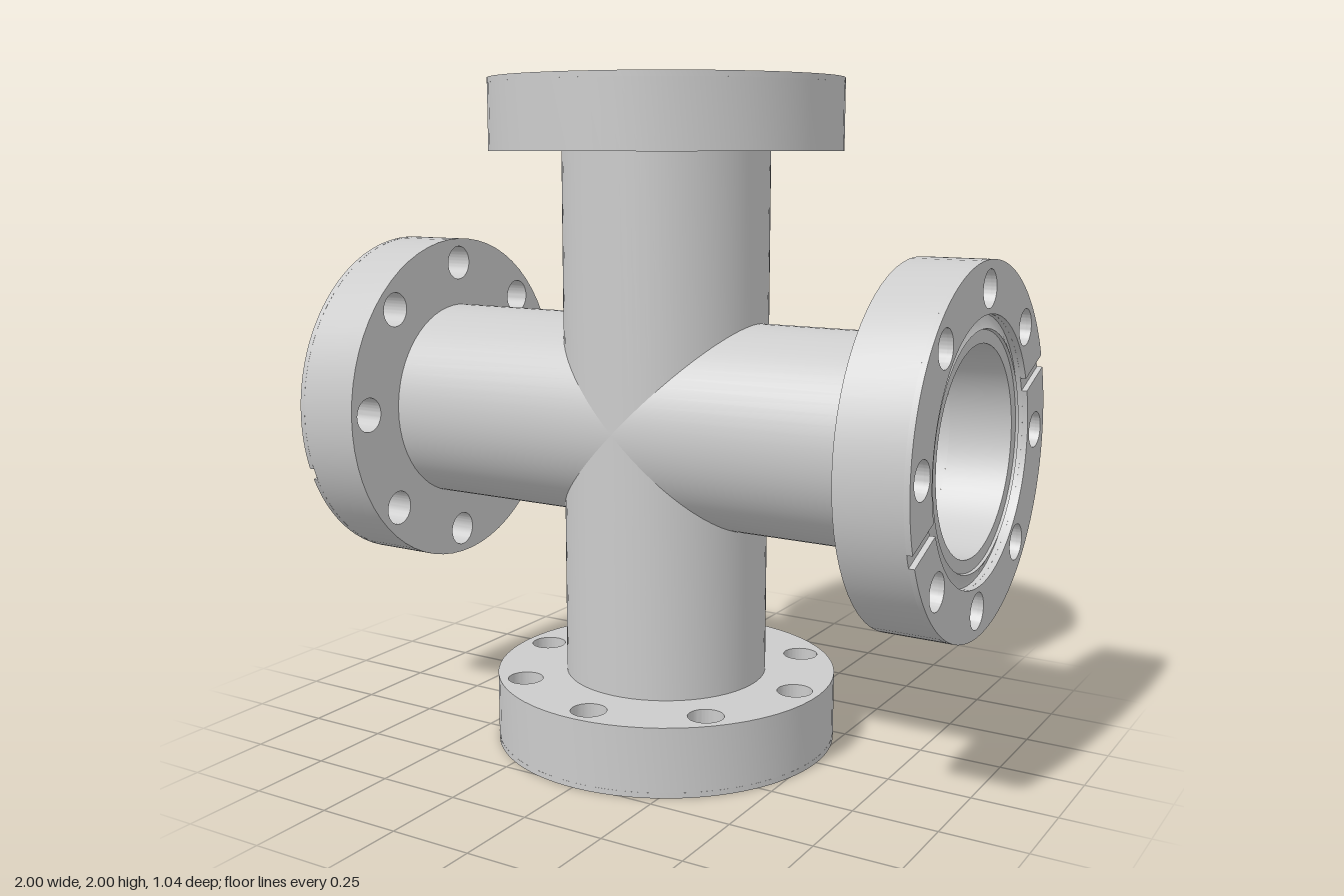
import * as THREE from 'three';
import { toCreasedNormals } from 'three/addons/utils/BufferGeometryUtils.js';

const CENTRE_Y = 0.99;
const TUBE_R = 0.308, BORE_R = 0.295;
const FLANGE_R = 0.521, RECESS_R = 0.375, THICK = 0.208;
const BOLT_CIRCLE = 0.443, BOLT_R = 0.053, BOLTS = 8;
const GROOVE_HALF = 0.02, GROOVE_DEPTH = 0.016;
const SEGMENTS = 64;

const material = new THREE.MeshStandardMaterial({ color: 0xcccccc });

function addMesh(parent, name, geometry) {
  const mesh = new THREE.Mesh(toCreasedNormals(geometry, 0.5), material);
  mesh.name = name;
  parent.add(mesh);
  return mesh;
}

function lathe(points) {
  return new THREE.LatheGeometry(points.map(([r, y]) => new THREE.Vector2(r, y)), SEGMENTS);
}

// Tube wall whose lower end is mitred to meet the neighbouring arms
function mitredWall(points) {
  const geometry = lathe(points);
  const pos = geometry.attributes.position;
  for (let i = 0; i < pos.count; i++) {
    if (pos.getY(i) === 0) pos.setY(i, Math.abs(pos.getX(i)));
  }
  return geometry;
}

function punchBolts(shape, count) {
  for (let i = 0; i < count; i++) {
    const a = ((i + 0.5) / BOLTS) * Math.PI * 2;
    const hole = new THREE.Path();
    hole.absarc(Math.cos(a) * BOLT_CIRCLE, Math.sin(a) * BOLT_CIRCLE, BOLT_R, 0, Math.PI * 2, true);
    shape.holes.push(hole);
  }
}

function extrudeUp(shape, depth, y) {
  return new THREE.ExtrudeGeometry(shape, { depth, bevelEnabled: false, curveSegments: SEGMENTS / 2 })
    .rotateX(-Math.PI / 2)
    .translate(0, y, 0);
}

// Flange lying on y = 0 with its sealing face up and the groove along x
function createFlange() {
  const flange = new THREE.Group();
  flange.name = 'flange';

  // Drilled ring
  const ring = new THREE.Shape();
  ring.absarc(0, 0, FLANGE_R, 0, Math.PI * 2, false);
  const opening = new THREE.Path();
  opening.absarc(0, 0, RECESS_R, 0, Math.PI * 2, true);
  ring.holes.push(opening);
  punchBolts(ring, BOLTS);
  addMesh(flange, 'flangeRing', extrudeUp(ring, THICK - GROOVE_DEPTH, 0));

  // Face layer in two halves, leaving the leak-check grooves between them
  const half = new THREE.Shape();
  const outer = Math.asin(GROOVE_HALF / FLANGE_R);
  const inner = Math.asin(GROOVE_HALF / RECESS_R);
  half.absarc(0, 0, FLANGE_R, outer, Math.PI - outer, false);
  half.absarc(0, 0, RECESS_R, Math.PI - inner, inner, true);
  half.closePath();
  punchBolts(half, BOLTS / 2);
  for (const turn of [0, Math.PI]) {
    addMesh(flange, 'flangeFace', extrudeUp(half, GROOVE_DEPTH, THICK - GROOVE_DEPTH)).rotation.y = turn;
  }

  // Inner seat with the raised knife edge
  addMesh(flange, 'knifeEdgeSeat', lathe([
    [BORE_R, 0],
    [RECESS_R, 0],
    [RECESS_R, THICK - 0.03],
    [0.366, THICK - 0.03],
    [0.335, THICK - 0.014],
    [0.332, THICK - 0.022],
    [BORE_R, THICK - 0.022],
    [BORE_R, 0],
  ]));
  return flange;
}

function createArm({ name, turn, length, grooveAngle }) {
  const arm = new THREE.Group();
  arm.name = name;
  const tubeEnd = length - THICK;
  addMesh(arm, 'tubeOuterWall', mitredWall([[TUBE_R, 0], [TUBE_R, tubeEnd]]));
  addMesh(arm, 'tubeBore', mitredWall([[BORE_R, tubeEnd], [BORE_R, 0]]));

  const flange = createFlange();
  flange.position.y = tubeEnd;
  flange.rotation.y = THREE.MathUtils.degToRad(grooveAngle);
  arm.add(flange);

  arm.position.y = CENTRE_Y;
  arm.rotation.z = turn;
  return arm;
}

export function createModel() {
  const model = new THREE.Group();
  model.name = 'fourWayPipeCross';
  const arms = [
    { name: 'topArm', turn: 0, length: 1.01, grooveAngle: 23.3 },
    { name: 'bottomArm', turn: Math.PI, length: 0.99, grooveAngle: 156.7 },
    { name: 'leftArm', turn: -Math.PI / 2, length: 1, grooveAngle: 111.7 },
    { name: 'rightArm', turn: Math.PI / 2, length: 1, grooveAngle: 68.3 },
  ];
  for (const arm of arms) model.add(createArm(arm));
  return model;
}
